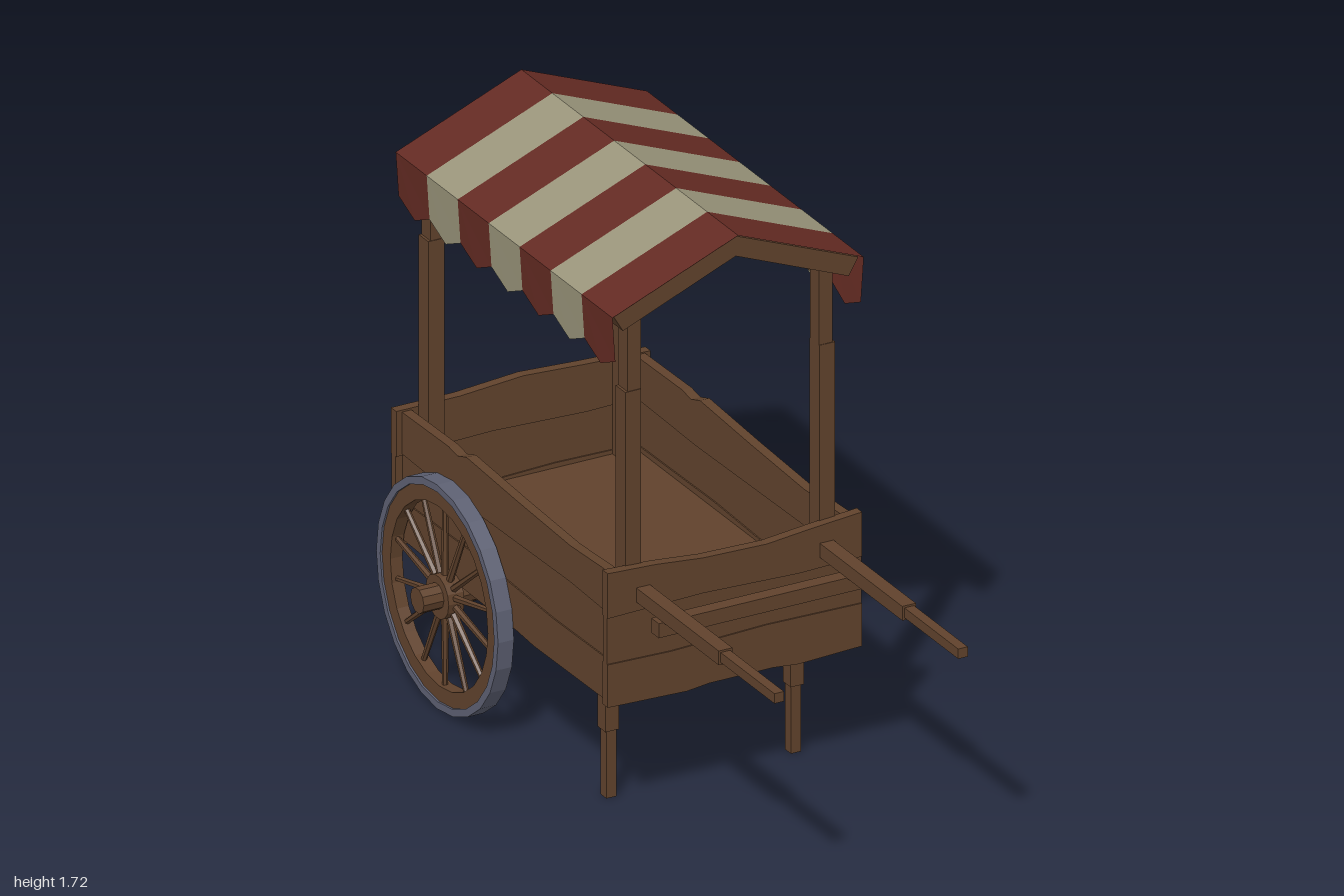
import * as THREE from 'three';

const wood = new THREE.MeshStandardMaterial({ color: 0x60422c });
const metal = new THREE.MeshStandardMaterial({ color: 0x5d6072 });
const red = new THREE.MeshStandardMaterial({ color: 0x642b23, side: THREE.DoubleSide });
const cream = new THREE.MeshStandardMaterial({ color: 0x99947a, side: THREE.DoubleSide });
wood.name = 'wood';
metal.name = 'metal';
red.name = 'redCloth';
cream.name = 'creamCloth';

// Faceted mesh with hard edges
function part(parent, name, geometry, material = wood) {
  const g = geometry.index ? geometry.toNonIndexed() : geometry;
  g.computeVertexNormals();
  const mesh = new THREE.Mesh(g, material);
  mesh.name = name;
  parent.add(mesh);
  return mesh;
}

// Box given by its min and max on each axis
function box(parent, name, [x0, x1], [y0, y1], [z0, z1]) {
  const g = new THREE.BoxGeometry(x1 - x0, y1 - y0, z1 - z0);
  g.translate((x0 + x1) / 2, (y0 + y1) / 2, (z0 + z1) / 2);
  return part(parent, name, g);
}

function extrude(points, depth) {
  const shape = new THREE.Shape(points.map(([x, y]) => new THREE.Vector2(x, y)));
  return new THREE.ExtrudeGeometry(shape, { depth, bevelEnabled: false });
}

// Wall of planks lying between successive hand-cut edges
function wall(name, edges, thickness) {
  const group = new THREE.Group();
  group.name = name;
  for (let i = 0; i < edges.length - 1; i++) {
    const inset = i % 2 ? 0.004 : 0;
    const g = extrude([...edges[i], ...[...edges[i + 1]].reverse()], thickness - 2 * inset);
    part(group, 'plank', g.translate(0, 0, inset));
  }
  return group;
}

// Ring with a rectangular section, its axle along x
function ring(inner, outer, half) {
  const p = [[inner, -half], [outer, -half], [outer, half], [inner, half], [inner, -half]];
  return new THREE.LatheGeometry(p.map(([x, y]) => new THREE.Vector2(x, y)), 24).rotateZ(Math.PI / 2);
}

function makeWheel() {
  const wheel = new THREE.Group();
  wheel.name = 'wheel';
  part(wheel, 'tyre', ring(0.318, 0.34, 0.025), metal);
  part(wheel, 'rim', ring(0.272, 0.319, 0.019));
  part(wheel, 'hub', new THREE.CylinderGeometry(0.065, 0.065, 0.05, 14).rotateZ(Math.PI / 2));
  const spokes = 14;
  for (let i = 0; i < spokes; i++) {
    const g = new THREE.CylinderGeometry(0.008, 0.011, 0.23, 6);
    g.translate(0, 0.17, 0).rotateX((i / spokes) * Math.PI * 2);
    part(wheel, 'spoke', g);
  }
  return wheel;
}

// One striped strip of cloth: roof slope plus pointed valance
function clothStrip(side, z0, z1) {
  const apex = [0, 1.718], eave = [side * 0.395, 1.56], hem = [side * 0.386, 1.425];
  const zm = (z0 + z1) / 2;
  const v = [
    [...apex, z0], [...apex, z1], [...eave, z1], [...eave, z0],
    [...hem, z1], [side * 0.384, 1.385, zm], [...hem, z0],
  ];
  const faces = [[0, 1, 2], [0, 2, 3], [3, 2, 4], [3, 4, 5], [3, 5, 6]];
  const order = faces.flatMap((f) => (side > 0 ? f : [...f].reverse()));
  const g = new THREE.BufferGeometry();
  g.setAttribute('position', new THREE.Float32BufferAttribute(order.flatMap((i) => v[i]), 3));
  return g;
}

export function createModel() {
  const cart = new THREE.Group();
  cart.name = 'marketCart';

  // Cart body
  box(cart, 'floor', [-0.36, 0.36], [0.39, 0.49], [-0.95, 0.22]);
  const endSeams = [
    [[-0.4, 0.37], [-0.15, 0.362], [-0.08, 0.37], [0.12, 0.37], [0.2, 0.362], [0.4, 0.37]],
    [[-0.4, 0.5], [-0.2, 0.495], [0.1, 0.505], [0.4, 0.5]],
    [[-0.4, 0.64], [-0.1, 0.648], [0.2, 0.637], [0.4, 0.642]],
  ];
  const frontTop = [[-0.4, 0.777], [-0.25, 0.77], [-0.1, 0.755], [0.1, 0.75], [0.25, 0.765], [0.4, 0.777]];
  const backTop = [[-0.4, 0.778], [-0.2, 0.778], [0, 0.793], [0.2, 0.782], [0.4, 0.775]];
  const front = wall('frontWall', [...endSeams, frontTop], 0.03);
  front.position.z = 0.21;
  const back = wall('backWall', [...endSeams, backTop], 0.03);
  back.position.z = -0.97;
  cart.add(front, back);

  const sideEdges = [
    [[-0.945, 0.388], [-0.7, 0.38], [-0.3, 0.375], [-0.2, 0.368], [0.215, 0.372]],
    [[-0.945, 0.505], [-0.5, 0.51], [-0.1, 0.497], [0.215, 0.5]],
    [[-0.945, 0.645], [-0.6, 0.638], [0, 0.648], [0.215, 0.64]],
    [[-0.945, 0.772], [-0.68, 0.776], [-0.63, 0.768], [-0.58, 0.785], [-0.3, 0.77], [0, 0.758], [0.215, 0.768]],
  ];

  // Axle across both wheels
  const axle = new THREE.CylinderGeometry(0.038, 0.038, 0.99, 10).rotateZ(Math.PI / 2);
  part(cart, 'axle', axle.translate(0, 0.345, -0.655));

  for (const s of [-1, 1]) {
    const sideWall = wall('sideWall', sideEdges, 0.03);
    sideWall.rotation.y = -Math.PI / 2;
    sideWall.position.x = s > 0 ? 0.382 : -0.352;
    cart.add(sideWall);

    const wheel = makeWheel();
    wheel.position.set(s * 0.407, 0.342, -0.655);
    cart.add(wheel);

    // Mirrored x range
    const mx = (a, b) => (s > 0 ? [a, b] : [-b, -a]);

    // Legs and pulling handles
    box(cart, 'legTop', mx(0.27, 0.312), [0.205, 0.4], [0.028, 0.072]);
    box(cart, 'legFoot', mx(0.274, 0.306), [0, 0.21], [0.034, 0.066]);
    box(cart, 'handleBase', mx(0.267, 0.31), [0.67, 0.713], [0.2, 0.7]);
    box(cart, 'handleGrip', mx(0.274, 0.304), [0.677, 0.707], [0.69, 1]);

    // Roof posts, thinner near the top
    for (const z of [0.187, -0.912]) {
      box(cart, 'postBase', mx(0.28, 0.33), [0.48, 1.3], [z - 0.027, z + 0.027]);
      box(cart, 'postTop', mx(0.28, 0.322), [1.3, 1.56], [z - 0.025, z + 0.025]);
    }
    box(cart, 'eaveBeam', mx(0.285, 0.32), [1.5, 1.54], [-0.9, 0.18]);

    // Striped canopy
    const stripes = 7, z0 = -0.952, step = 1.21 / stripes;
    for (let i = 0; i < stripes; i++) {
      const g = clothStrip(s, z0 + i * step, z0 + (i + 1) * step);
      part(cart, i % 2 ? 'creamStripe' : 'redStripe', g, i % 2 ? cream : red);
    }
  }

  // Bar joining the handles
  box(cart, 'handleCrossbar', [-0.325, 0.325], [0.627, 0.671], [0.35, 0.392]);

  // Gable rafters
  const gable = [[0, 1.711], [-0.385, 1.557], [-0.355, 1.506], [0, 1.65], [0.355, 1.506], [0.385, 1.557]];
  for (const z of [0.185, -0.945]) {
    part(cart, 'rafter', extrude(gable, 0.06).translate(0, 0, z));
  }
  return cart;
}
